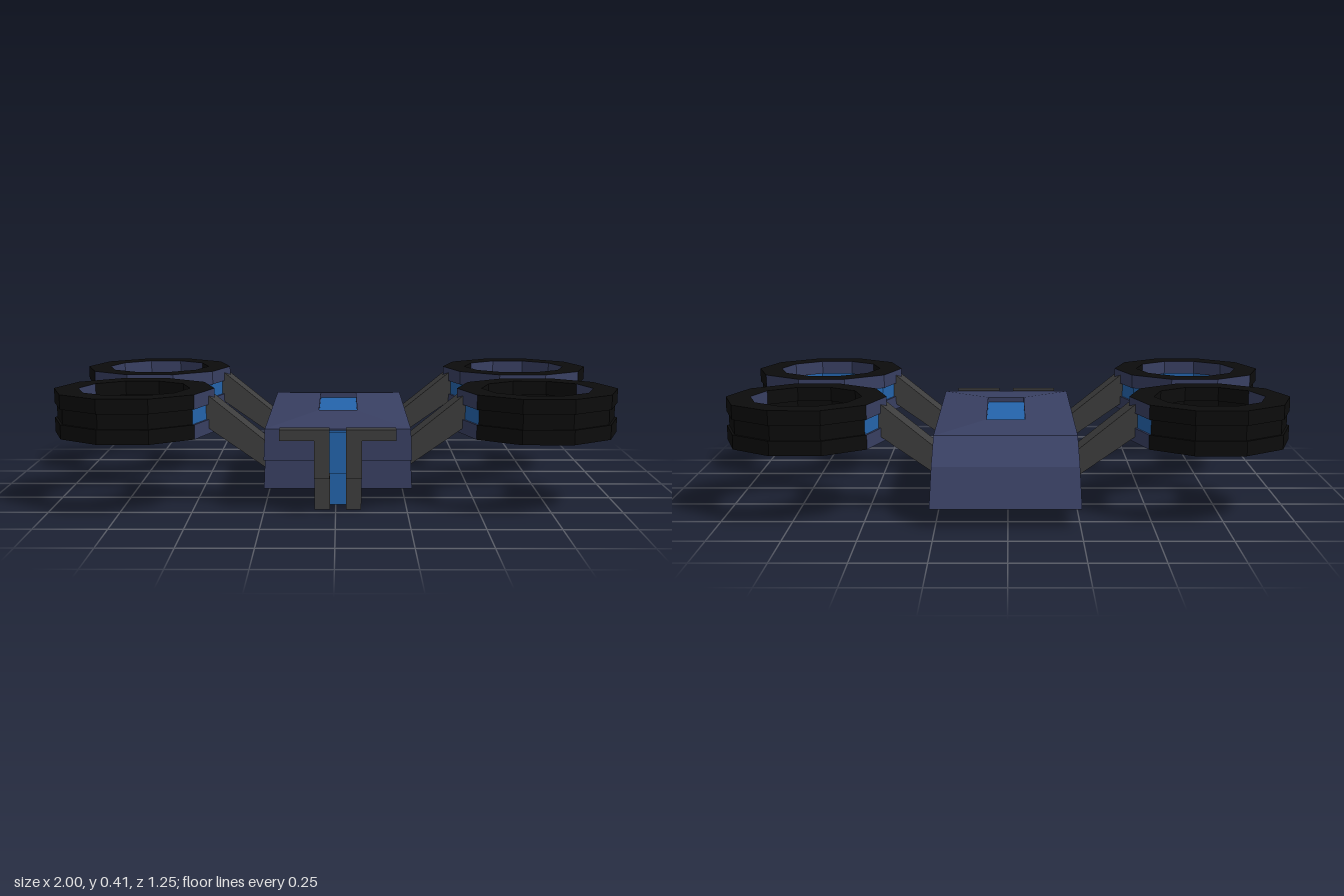
import * as THREE from 'three';

const mat = (name, color) => new THREE.MeshStandardMaterial({ name, color });

export function createModel() {
  const navy = mat('navy', 0x394063);
  const blue = mat('blue', 0x2465ad);
  const grey = mat('dark grey', 0x3e3e3e);
  const black = mat('black', 0x0c0c0c);

  const model = new THREE.Group();
  model.name = 'quadRotorDrone';
  const CX = 0.008; // hull centre line

  const add = (parent, name, geometry, material) => {
    const m = new THREE.Mesh(geometry, material);
    m.name = name;
    parent.add(m);
    return m;
  };
  const extrude = (pts, depth) => {
    const g = new THREE.ExtrudeGeometry(
      new THREE.Shape(pts.map(p => new THREE.Vector2(...p))), { depth, bevelEnabled: false });
    return g.translate(0, 0, -depth / 2);
  };
  // side profile given as [z, y], extruded across x
  const sideExtrude = (pts, width, x) => extrude(pts, width).rotateY(-Math.PI / 2).translate(x, 0, 0);
  const box = (w, h, d, x, y, z) => new THREE.BoxGeometry(w, h, d).translate(x, y, z);
  const fromPositions = pos => {
    const g = new THREE.BufferGeometry();
    g.setAttribute('position', new THREE.Float32BufferAttribute(pos, 3));
    g.computeVertexNormals();
    return g;
  };
  const pushQuad = (out, a, b, c, d) => out.push(...a, ...b, ...c, ...a, ...c, ...d);

  // Hull: stepped nose, sloped tail, sides leaning inwards
  const hull = sideExtrude([
    [0.40, 0.065], [0.40, 0.185], [0.50, 0.185], [0.50, 0.295],
    [-0.445, 0.295], [-0.54, 0.205], [-0.582, 0.065],
  ], 2, 0);
  const hp = hull.attributes.position;
  for (let i = 0; i < hp.count; i++) {
    const half = 0.262 - (hp.getY(i) - 0.065) * 0.045;
    hp.setX(i, CX + Math.sign(hp.getX(i)) * half);
  }
  hull.computeVertexNormals();
  add(model, 'hull', hull, navy);

  // Deck: low slopes rising to the rim of a sunken slot
  const loop = (hw, z0, z1, y) => [
    [CX - hw, y, z0], [CX - hw, y, z1], [CX + hw, y, z1], [CX + hw, y, z0]];
  const loops = [
    loop(0.2515, -0.445, 0.50, 0.295),
    loop(0.07, -0.262, 0.212, 0.318),
    loop(0.07, -0.262, 0.212, 0.295),
  ];
  const deck = [];
  for (let k = 0; k < 2; k++) {
    for (let i = 0; i < 4; i++) {
      const j = (i + 1) % 4;
      pushQuad(deck, loops[k][i], loops[k][j], loops[k + 1][j], loops[k + 1][i]);
    }
  }
  add(model, 'deck', fromPositions(deck), navy);
  add(model, 'deckSlotPanel', box(0.14, 0.003, 0.474, CX, 0.2975, -0.025), blue);

  // Nose bracket: two stepped legs with crossbars and a blue strip between
  const bracket = new THREE.Group();
  bracket.name = 'noseBracket';
  model.add(bracket);
  const legProfile = [
    [0.55, 0.30], [0.55, 0.13], [0.45, 0.13], [0.45, 0],
    [0.40, 0], [0.40, 0.182], [0.50, 0.182], [0.50, 0.30],
  ];
  for (const s of [1, -1]) {
    add(bracket, 'bracketLeg', sideExtrude(legProfile, 0.054, CX + s * 0.055), grey);
    add(bracket, 'bracketCrossbar', box(0.118, 0.038, 0.05, CX + s * 0.141, 0.281, 0.525), grey);
  }
  add(bracket, 'bracketStrip', sideExtrude([
    [0.535, 0.29], [0.535, 0.145], [0.435, 0.145], [0.435, 0.015],
    [0.40, 0.015], [0.40, 0.182], [0.50, 0.182], [0.50, 0.29],
  ], 0.056, CX), blue);

  // Rotor ring: ten sides, grooved inside and out.
  // Walls turned towards the hull are navy and blue, the rest is black.
  const ringProfile = [
    [0.30, 0.415], [0.30, 0.364], [0.291, 0.364], [0.291, 0.311], [0.30, 0.311], [0.30, 0.26],
    [0.208, 0.26], [0.208, 0.311], [0.217, 0.311], [0.217, 0.364], [0.208, 0.364], [0.208, 0.415],
  ];
  const SIDES = 10;
  const makeRing = (sx, sz) => {
    const faces = { rim: [], groove: [], shell: [] };
    const at = (k, j) => {
      const [r, y] = ringProfile[k % 12];
      const t = (j / SIDES) * Math.PI * 2;
      return [r * 0.95 * Math.cos(t), y, r * Math.sin(t)];
    };
    for (let j = 0; j < SIDES; j++) {
      const mid = ((j + 0.5) / SIDES) * Math.PI * 2;
      const towardHull = -sx * Math.cos(mid) - sz * Math.sin(mid) > 0.1;
      for (let k = 0; k < 12; k++) {
        const cap = k === 5 || k === 11;
        const lit = !cap && (k < 5 ? towardHull : !towardHull);
        const out = !lit ? faces.shell : (k === 2 || k === 8) ? faces.groove : faces.rim;
        pushQuad(out, at(k, j), at(k, j + 1), at(k + 1, j + 1), at(k + 1, j));
      }
    }
    const ring = new THREE.Group();
    ring.name = 'rotorRing';
    add(ring, 'ringShell', fromPositions(faces.shell), black);
    add(ring, 'ringRim', fromPositions(faces.rim), navy);
    add(ring, 'ringGroove', fromPositions(faces.groove), blue);
    ring.position.set(sx * 0.715, 0, sz * 0.338);
    return ring;
  };

  // Four rings on slanted arms
  for (const sx of [1, -1]) {
    for (const sz of [1, -1]) {
      model.add(makeRing(sx, sz));
      const pts = [[0.23, 0.127], [0.465, 0.292], [0.465, 0.41], [0.23, 0.22]];
      const arm = extrude(pts.map(([x, y]) => [sx * x, y]), 0.115);
      add(model, 'rotorArm', arm.translate(0, 0, sz * 0.335), grey);
    }
  }
  return model;
}
